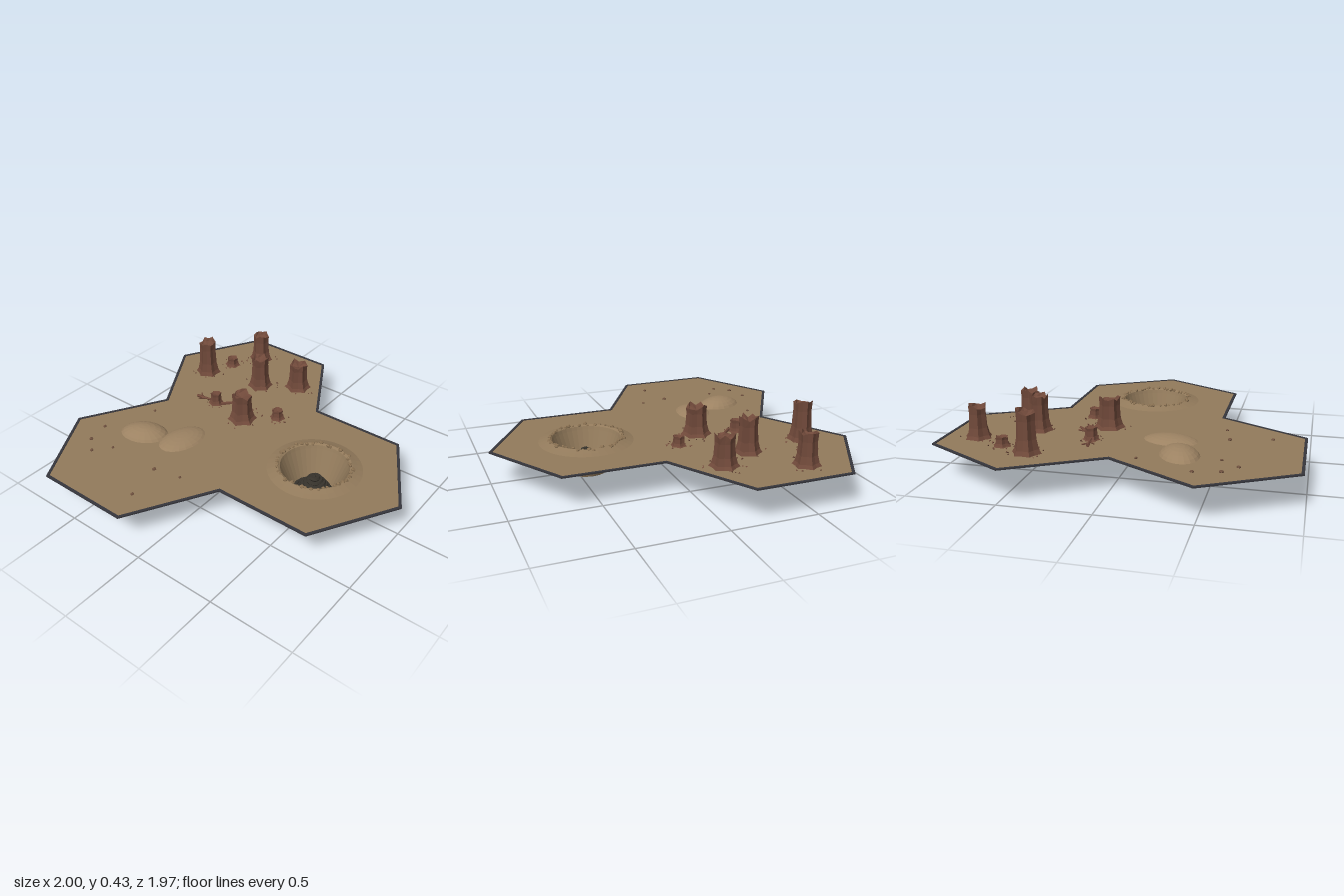
import * as THREE from 'three';

const GROUND = 0.181;
let seed = 7;
const rnd = () => (seed = (seed * 16807) % 2147483647) / 2147483647;
const vary = (a, b) => a + (b - a) * rnd();

const material = (name, color, opts = {}) => {
  const m = new THREE.MeshStandardMaterial({ color, flatShading: true, ...opts });
  m.name = name;
  return m;
};

export function createModel() {
  const both = { side: THREE.DoubleSide };
  const sand = material('sand', 0x927a5b, both);
  const paleSand = material('pale sand', 0x9c8262, both);
  const edge = material('dark edge', 0x36363c);
  const wood = material('red brown wood', 0x70493a, both);
  const pebbleMat = material('pebble brown', 0x6e503e);
  const stone = material('rim stone', 0x8a7152);
  const black = material('pit black', 0x161616, both);
  const charcoal = material('charcoal', 0x37332c);

  const model = new THREE.Group();
  const add = (name, geo, mat, x = 0, y = 0, z = 0, parent = model) => {
    const mesh = new THREE.Mesh(geo, mat);
    mesh.name = name;
    mesh.position.set(x, y, z);
    parent.add(mesh);
    return mesh;
  };
  const group = (name, x = 0, y = 0, z = 0) => {
    const g = new THREE.Group();
    g.name = name;
    g.position.set(x, y, z);
    model.add(g);
    return g;
  };

  // Outline of three joined hexagons, as (x, z)
  const outline = [[-0.715, -0.985], [-0.145, -0.985], [0.138, -0.49], [0.713, -0.49], [1, 0], [0.713, 0.49],
    [0.138, 0.49], [-0.145, 0.985], [-0.715, 0.985], [-1, 0.49], [-0.713, 0], [-1, -0.49]]
    .map(([x, z]) => new THREE.Vector2(x, z));
  const inset = (w) => outline.map((p, i) => {
    const n = outline.length;
    const normal = (a, b) => { const d = b.clone().sub(a).normalize(); return new THREE.Vector2(-d.y, d.x); };
    const n1 = normal(outline[(i + n - 1) % n], p), n2 = normal(p, outline[(i + 1) % n]);
    return p.clone().addScaledVector(n1.clone().add(n2), w / (1 + n1.dot(n2)));
  });
  const slab = (points, hole, depth) => {
    const shape = new THREE.Shape(points);
    shape.holes.push(new THREE.Path(hole));
    return new THREE.ExtrudeGeometry(shape, { depth, bevelEnabled: false }).rotateX(Math.PI / 2);
  };

  // Ground with a six-sided opening below the crater
  const PIT = 0.44;
  const opening = Array.from({ length: 6 }, (_, i) => {
    const a = -i * Math.PI / 3;
    return new THREE.Vector2(PIT + 0.265 * Math.cos(a), 0.265 * Math.sin(a));
  });
  add('ground', slab(inset(0.003), opening, 0.006), sand, 0, GROUND);
  add('groundEdge', slab(outline, inset(0.016).reverse(), 0.008), edge, 0, GROUND + 0.003);

  // Crater: apron, crest and funnel
  const profile = [[0.275, 0.182], [0.245, 0.192], [0.213, 0.204], [0.2, 0.196], [0.193, 0.176], [0.123, 0.002]]
    .map(([r, y]) => new THREE.Vector2(r, y));
  add('crater', new THREE.LatheGeometry(profile, 36), sand, PIT);
  add('pitFloor', new THREE.CircleGeometry(0.123, 36).rotateX(-Math.PI / 2), black, PIT, 0.002);

  // Coiled dark heap in the pit
  const heap = group('coiledHeap', PIT, 0, 0);
  for (let i = 0; i < 6; i++) {
    const ring = add('coil', new THREE.TorusGeometry(0.105 - 0.017 * i, 0.014, 6, 18), charcoal,
      vary(-0.005, 0.005), 0.015 + i * 0.02, vary(-0.005, 0.005), heap);
    ring.rotation.set(Math.PI / 2 + vary(-0.12, 0.12), vary(-0.12, 0.12), 0);
  }
  add('heapTip', new THREE.ConeGeometry(0.02, 0.04, 6), charcoal, 0, 0.125, 0, heap);

  // Loose stones round the crest
  const stones = group('rimStones', PIT, 0, 0);
  for (let i = 0; i < 42; i++) {
    const a = (i + vary(-0.3, 0.3)) / 42 * Math.PI * 2, r = vary(0.2, 0.222);
    const s = add('rimStone', new THREE.DodecahedronGeometry(vary(0.008, 0.015)), stone,
      r * Math.cos(a), vary(0.198, 0.205), r * Math.sin(a), stones);
    s.rotation.set(vary(0, 3), vary(0, 3), 0);
    s.scale.y = 0.8;
  }

  // Two sand mounds, open underneath
  const mound = (x, y, z, rx, ry, rz, turn) => {
    const m = add('mound', new THREE.SphereGeometry(1, 20, 7, 0, Math.PI * 2, 0, Math.PI / 2), paleSand, x, y, z);
    m.scale.set(rx, ry, rz);
    m.rotation.y = turn;
  };
  mound(-0.57, 0.135, 0.345, 0.168, 0.096, 0.122, 0.36);
  mound(-0.345, 0.152, 0.255, 0.12, 0.06, 0.178, -0.18);

  // Broken trunk: fluted six-ribbed column with a jagged, hollow top
  const trunkGeometry = (r, h) => {
    const sides = 12, pos = [], idx = [];
    const rows = [[1, 0], [0.82, 0.1], [0.68, 0.32], [0.62, 0.72], [0.66, 0.93], [0.46, 0.86], [0.03, 0.8]];
    const jag = Array.from({ length: sides }, () => vary(-0.07, 0.07));
    rows.forEach(([k, t], row) => {
      for (let i = 0; i < sides; i++) {
        const a = (i / sides) * Math.PI * 2;
        const rib = row < 5 && i % 2 ? 0.84 : 1.04;
        const y = h * (t + (row === 4 ? jag[i] : row === 5 ? jag[i] * 0.5 : 0));
        pos.push(r * k * rib * Math.cos(a), y, r * k * rib * Math.sin(a));
        if (row) {
          const j = (i + 1) % sides, p = (row - 1) * sides, q = row * sides;
          idx.push(p + i, q + i, p + j, q + i, q + j, p + j);
        }
      }
    });
    const g = new THREE.BufferGeometry();
    g.setAttribute('position', new THREE.Float32BufferAttribute(pos, 3));
    g.setIndex(idx);
    g.computeVertexNormals();
    return g;
  };

  // Trunks as x, z, base radius, top height; each with splinters around it
  [[-0.545, -0.79, 0.078, 0.375], [-0.13, -0.645, 0.084, 0.37], [-0.34, -0.51, 0.08, 0.4],
    [-0.725, -0.435, 0.08, 0.43], [-0.195, -0.135, 0.09, 0.37], [-0.65, -0.605, 0.053, 0.238],
    [-0.437, -0.172, 0.05, 0.258], [-0.025, -0.275, 0.05, 0.242]].forEach(([x, z, r, top]) => {
    const g = group('brokenTrunk', x, GROUND - 0.001, z);
    add('trunk', trunkGeometry(r, top - GROUND), wood, 0, 0, 0, g).rotation.y = Math.PI / 6 + vary(-0.2, 0.2);
    for (let i = 0; i < 8; i++) {
      const a = vary(0, 6.28), d = r * vary(1.05, 1.5);
      add('splinter', new THREE.TetrahedronGeometry(vary(0.005, 0.009)), wood,
        d * Math.cos(a), 0.004, d * Math.sin(a), g).rotation.y = a;
    }
  });

  // Fallen branches with short forks, as start and end (x, z)
  const branches = group('fallenBranches');
  [[-0.575, -0.15, -0.46, -0.165, 0.01], [-0.535, -0.155, -0.57, -0.185, 0.006], [-0.51, -0.157, -0.545, -0.125, 0.006],
    [-0.39, -0.165, -0.28, -0.285, 0.011], [-0.335, -0.225, -0.33, -0.28, 0.007], [-0.35, -0.21, -0.3, -0.215, 0.006]]
    .forEach(([x1, z1, x2, z2, r]) => {
      const a = new THREE.Vector3(x1, 0.192, z1), b = new THREE.Vector3(x2, 0.194, z2);
      const m = add('branch', new THREE.CylinderGeometry(r * 0.65, r, a.distanceTo(b), 5), wood, 0, 0, 0, branches);
      m.position.copy(a).lerp(b, 0.5);
      m.quaternion.setFromUnitVectors(new THREE.Vector3(0, 1, 0), b.sub(a).normalize());
    });

  // Scattered pebbles
  [[-0.68, 0.14], [-0.805, 0.45], [-0.775, 0.59], [-0.61, 0.57], [-0.69, 0.665], [-0.275, 0.57],
    [-0.11, 0.535], [-0.22, 0.8]].forEach(([x, z], i) => {
    add('pebble', new THREE.DodecahedronGeometry(0.009 + (i % 3) * 0.002), pebbleMat, x, GROUND + 0.003, z).scale.y = 0.7;
  });

  return model;
}
